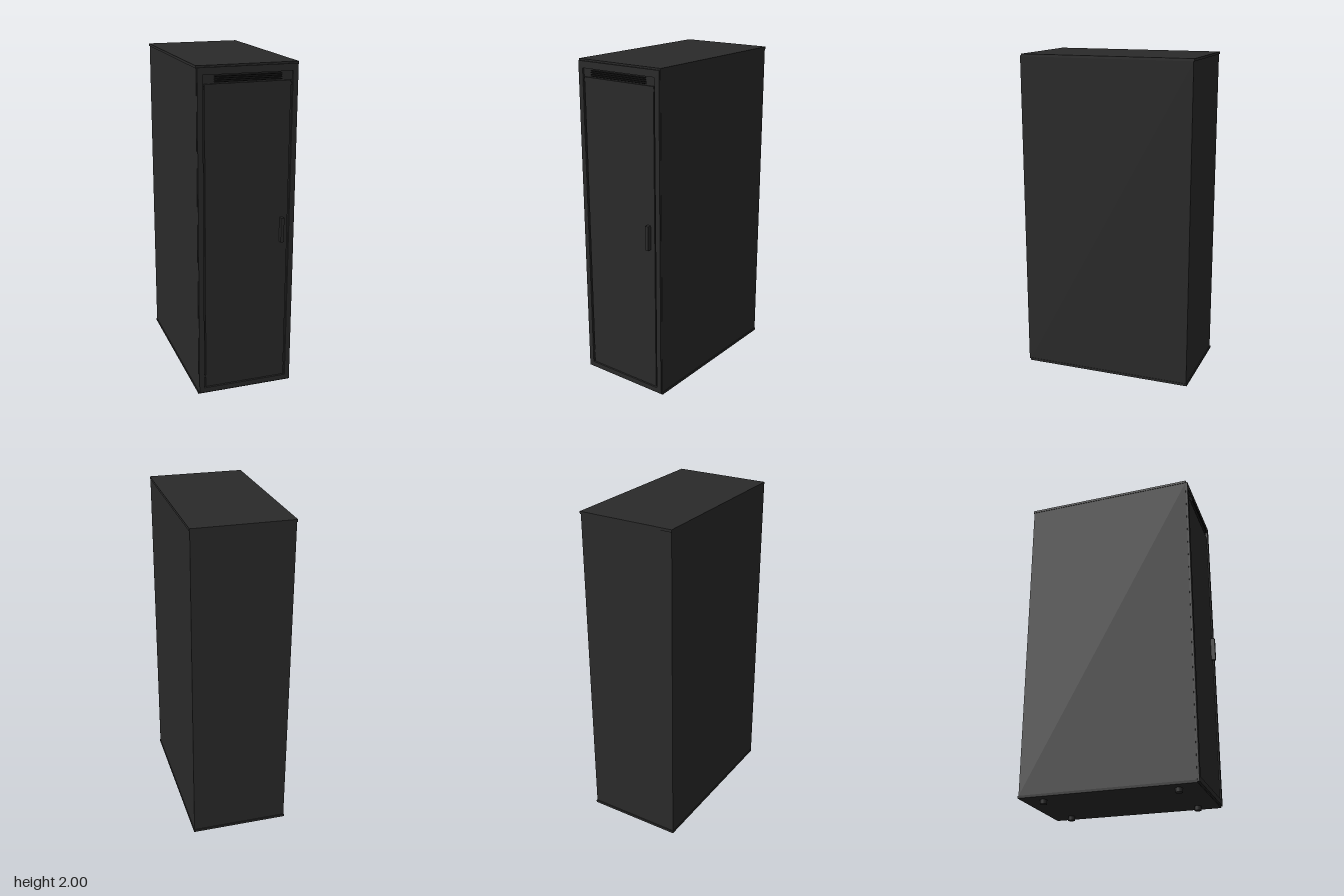
import * as THREE from 'three';

const metal = new THREE.MeshStandardMaterial({ color: 0x2a2a2a });
const dark = new THREE.MeshStandardMaterial({ color: 0x1c1c1c });

export function createModel() {
  const cabinet = new THREE.Group();
  cabinet.name = 'cabinet';

  // Box given by its lower and upper limits on each axis
  const box = (name, [x0, x1], [y0, y1], [z0, z1], material = metal) => {
    const mesh = new THREE.Mesh(new THREE.BoxGeometry(x1 - x0, y1 - y0, z1 - z0), material);
    mesh.position.set((x0 + x1) / 2, (y0 + y1) / 2, (z0 + z1) / 2);
    mesh.name = name;
    cabinet.add(mesh);
    return mesh;
  };

  // Shell: top and base plates overhang the walls slightly
  box('topPlate', [-0.296, 0.296], [1.985, 2], [-0.545, 0.513]);
  box('basePlate', [-0.296, 0.296], [0.025, 0.04], [-0.545, 0.513]);
  for (const s of [-1, 1]) {
    box(s > 0 ? 'leftWall' : 'rightWall', [s * 0.283 - 0.01, s * 0.283 + 0.01], [0.04, 1.985], [-0.54, 0.511]);
  }
  box('backPanel', [-0.273, 0.273], [0.04, 1.985], [-0.54, -0.525]);
  box('doorBacking', [-0.273, 0.273], [0.04, 1.985], [0.495, 0.508]);

  // Door frame with a rectangular opening
  const outline = new THREE.Shape([[-0.291, 0.033], [0.291, 0.033], [0.291, 1.99], [-0.291, 1.99]]
    .map(([x, y]) => new THREE.Vector2(x, y)));
  outline.holes.push(new THREE.Path([[-0.26, 0.065], [-0.26, 1.95], [0.26, 1.95], [0.26, 0.065]]
    .map(([x, y]) => new THREE.Vector2(x, y))));
  const frame = new THREE.Mesh(
    new THREE.ExtrudeGeometry(outline, { depth: 0.012, bevelEnabled: false }), metal);
  frame.position.z = 0.511;
  frame.name = 'doorFrame';
  cabinet.add(frame);

  // Inset door panel, separated from the frame by a narrow gap
  box('doorPanel', [-0.25, 0.25], [0.07, 1.9], [0.506, 0.519]);
  for (const s of [-1, 1]) for (const y of [0.14, 1.88]) {
    box('hinge', [s * 0.256 - 0.006, s * 0.256 + 0.006], [y - 0.008, y + 0.008], [0.506, 0.516], dark);
  }

  // Ventilation slats above the panel
  for (let i = 0; i < 4; i++) {
    const y = 1.909 + i * 0.01;
    box('ventSlat', [-0.193, 0.193], [y, y + 0.004], [0.506, 0.529], dark);
  }

  // Door handle
  box('handle', [0.202, 0.222], [0.957, 1.105], [0.517, 0.545]);

  // Four levelling feet
  for (const x of [-0.215, 0.215]) for (const z of [-0.417, 0.389]) {
    const foot = new THREE.Mesh(new THREE.CylinderGeometry(0.021, 0.021, 0.03, 24), metal);
    foot.position.set(x, 0.015, z);
    foot.name = 'foot';
    cabinet.add(foot);
  }

  return cabinet;
}
